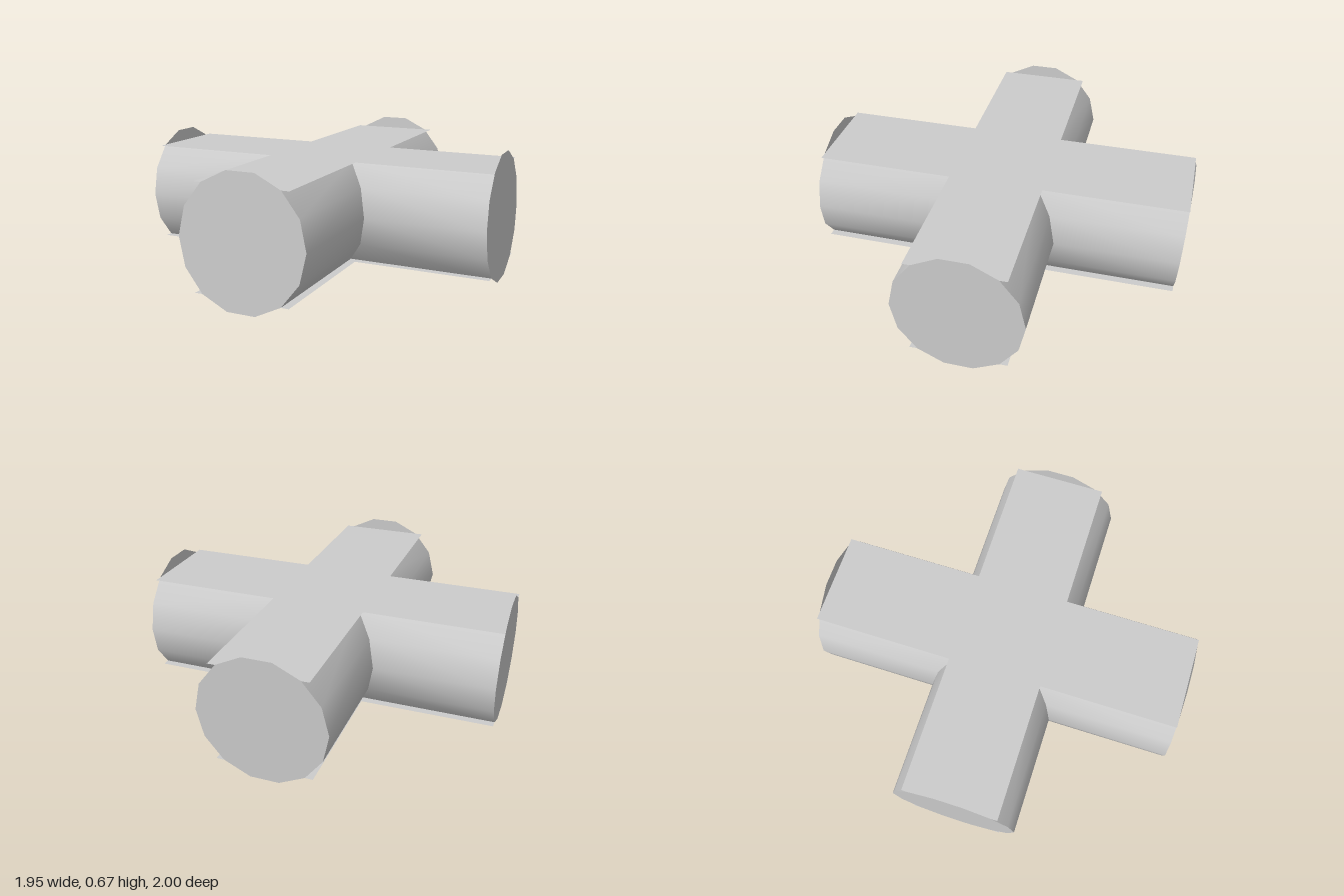
import * as THREE from 'three';

const material = new THREE.MeshStandardMaterial({ color: 0xcccccc, side: THREE.DoubleSide });
const SIDES = 14, RADIUS = 0.336, HEIGHT_RADIUS = 0.343, CENTRE = 0.335;
const FLANGE = 0.25; // half width of the flat plates

// Point on the pipe section: [sideways offset, height]
function section(i) {
  const a = (i / SIDES) * Math.PI * 2;
  return [RADIUS * Math.cos(a), CENTRE + HEIGHT_RADIUS * Math.sin(a)];
}

// Position of a slightly slanted pipe end at height y
function endAt(axis, sign, y) {
  const k = (y - CENTRE) / HEIGHT_RADIUS;
  return axis === 'z' ? sign * 0.9875 - 0.0125 * k : sign * 0.968 - 0.005 * k;
}

// Place a point from its position along the arm and its sideways offset
const place = (axis, along, side, y) => (axis === 'z' ? [side, y, along] : [along, y, side]);

function addMesh(group, name, points, index) {
  const geometry = new THREE.BufferGeometry();
  geometry.setAttribute('position', new THREE.Float32BufferAttribute(points.flat(), 3));
  geometry.setIndex(index);
  geometry.computeVertexNormals();
  const mesh = new THREE.Mesh(geometry, material);
  mesh.name = name;
  group.add(mesh);
}

// Curved wall on one side of an arm, from the mitre to the open end
function addWall(group, axis, sign, side) {
  const points = [], index = [];
  const flip = (sign * side > 0) === (axis === 'z');
  for (let i = -2; i <= 2; i++) {
    const [w, y] = section(i);
    points.push(place(axis, sign * w, side * w, y), place(axis, endAt(axis, sign, y), side * w, y));
  }
  for (let r = 0; r < 4; r++) {
    const a = r * 2, b = a + 1, c = a + 2, d = a + 3;
    index.push(...(flip ? [a, c, b, b, c, d] : [a, b, c, b, d, c]));
  }
  addMesh(group, 'pipeWall', points, index);
}

// Fourteen-sided disc closing an arm
function addEndDisc(group, axis, sign) {
  const points = [place(axis, endAt(axis, sign, CENTRE), 0, CENTRE)], index = [];
  const flip = (sign > 0) === (axis === 'z');
  for (let i = 0; i < SIDES; i++) {
    const [w, y] = section(i), a = i + 1, b = ((i + 1) % SIDES) + 1;
    points.push(place(axis, endAt(axis, sign, y), w, y));
    index.push(...(flip ? [0, a, b] : [0, b, a]));
  }
  addMesh(group, 'endDisc', points, index);
}

// Cross-shaped flat sheet with overhanging edges
function addPlate(group, name, y, up) {
  const f = FLANGE;
  const [x0, x1] = [endAt('x', -1, y), endAt('x', 1, y)];
  const [z0, z1] = [endAt('z', -1, y), endAt('z', 1, y)];
  const outline = [
    [x1, -f], [x1, f], [f, f], [f, z1], [-f, z1], [-f, f],
    [x0, f], [x0, -f], [-f, -f], [-f, z0], [f, z0], [f, -f],
  ].map(([x, z]) => new THREE.Vector2(x, up ? -z : z));
  const geometry = new THREE.ShapeGeometry(new THREE.Shape(outline));
  geometry.rotateX(up ? -Math.PI / 2 : Math.PI / 2);
  geometry.translate(0, y, 0);
  const mesh = new THREE.Mesh(geometry, material);
  mesh.name = name;
  group.add(mesh);
}

export function createModel() {
  const group = new THREE.Group();
  group.name = 'crossPipe';
  for (const axis of ['x', 'z']) {
    for (const sign of [-1, 1]) {
      addEndDisc(group, axis, sign);
      for (const side of [-1, 1]) addWall(group, axis, sign, side);
    }
  }
  addPlate(group, 'topPlate', section(2)[1], true);
  addPlate(group, 'bottomPlate', section(-2)[1], false);
  return group;
}
